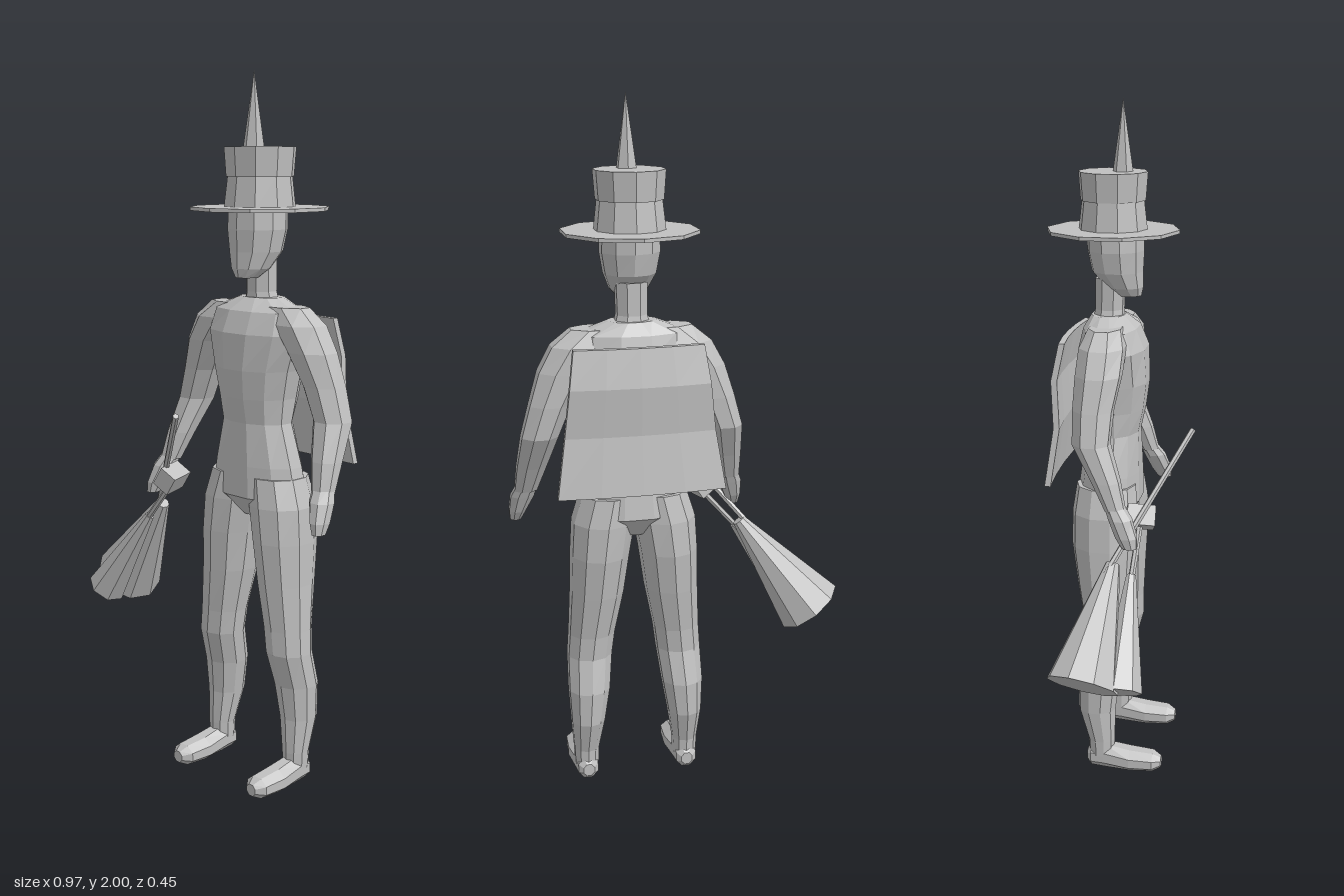
import * as THREE from 'three';

const CX = 0.135; // middle of the body
const grey = new THREE.MeshStandardMaterial({ color: 0xc0c0c0, flatShading: true });
grey.name = 'plain grey';

// closed skin over elliptical rings [y, x, z, rx, rz], listed bottom to top
function loft(rings, n = 10) {
  const pos = [], idx = [];
  for (const [y, x, z, rx, rz] of rings) {
    for (let j = 0; j < n; j++) {
      const a = ((j + 0.5) / n) * Math.PI * 2;
      pos.push(x + Math.cos(a) * rx, y, z + Math.sin(a) * rz);
    }
  }
  const last = rings.length - 1, lo = rings.length * n, hi = lo + 1;
  for (const r of [rings[0], rings[last]]) pos.push(r[1], r[0], r[2]);
  for (let j = 0; j < n; j++) {
    const k = (j + 1) % n;
    for (let i = 0; i < last; i++) {
      const a = i * n + j, b = i * n + k;
      idx.push(a, a + n, b, b, a + n, b + n);
    }
    idx.push(lo, j, k, hi, last * n + k, last * n + j);
  }
  const g = new THREE.BufferGeometry();
  g.setAttribute('position', new THREE.Float32BufferAttribute(pos, 3));
  g.setIndex(idx);
  g.computeVertexNormals();
  return g;
}

// tapered bar between two points
function bar(a, b, ra, rb, sides) {
  const A = new THREE.Vector3(...a), B = new THREE.Vector3(...b);
  const d = B.clone().sub(A);
  const g = new THREE.CylinderGeometry(rb, ra, d.length(), sides);
  g.applyQuaternion(new THREE.Quaternion().setFromUnitVectors(new THREE.Vector3(0, 1, 0), d.normalize()));
  return g.translate(...A.add(B).multiplyScalar(0.5).toArray());
}

export function createModel() {
  const model = new THREE.Group();
  const add = (name, geometry) => {
    const m = new THREE.Mesh(geometry, grey);
    m.name = name;
    model.add(m);
    return m;
  };

  // trunk, neck and head
  add('torso', loft([
    [0.78, CX, -0.04, 0.05, 0.05], [0.84, CX, -0.04, 0.165, 0.097],
    [0.93, CX, -0.035, 0.148, 0.09], [1.05, CX, -0.03, 0.113, 0.08],
    [1.12, CX, -0.035, 0.12, 0.1], [1.2, CX, -0.033, 0.138, 0.108],
    [1.3, CX, -0.03, 0.17, 0.1], [1.36, CX, -0.035, 0.16, 0.08],
    [1.395, CX, -0.045, 0.07, 0.05],
  ], 12));
  add('neck', loft([
    [1.36, CX, -0.045, 0.06, 0.05], [1.41, CX, -0.042, 0.045, 0.043],
    [1.5, CX, -0.04, 0.047, 0.045],
  ], 8));
  add('head', loft([
    [1.45, CX, 0.015, 0.03, 0.035], [1.475, CX, 0, 0.055, 0.055],
    [1.52, CX, -0.02, 0.074, 0.075], [1.58, CX, -0.025, 0.085, 0.083],
    [1.64, CX, -0.027, 0.083, 0.083], [1.7, CX, -0.03, 0.055, 0.06],
  ]));

  // mirrored limbs: s = -1 is the right side, +1 the left
  for (const s of [-1, 1]) {
    const side = s < 0 ? 'right' : 'left';
    const put = rings => rings.map(([y, off, z, rx, rz]) => [y, CX + s * off, z, rx, rz]);
    add(side + 'Leg', loft(put([
      [0.05, 0.15, -0.04, 0.036, 0.038], [0.1, 0.15, -0.04, 0.038, 0.041],
      [0.2, 0.146, -0.055, 0.051, 0.057], [0.3, 0.14, -0.05, 0.062, 0.064],
      [0.4, 0.133, -0.025, 0.067, 0.066], [0.47, 0.126, -0.027, 0.069, 0.069],
      [0.6, 0.11, -0.035, 0.079, 0.085], [0.72, 0.1, -0.04, 0.086, 0.098],
      [0.82, 0.088, -0.04, 0.092, 0.098], [0.9, 0.07, -0.04, 0.085, 0.088],
    ])));
    add(side + 'Arm', loft(put([
      [0.9, 0.298, 0.03, 0.034, 0.03], [0.98, 0.283, 0, 0.045, 0.042],
      [1.08, 0.263, -0.045, 0.055, 0.055], [1.17, 0.232, -0.045, 0.062, 0.06],
      [1.26, 0.192, -0.037, 0.075, 0.068], [1.33, 0.145, -0.035, 0.085, 0.068],
      [1.375, 0.09, -0.035, 0.085, 0.05],
    ]), 8));
    add(side + 'Hand', loft(put([
      [0.8, 0.325, 0.075, 0.017, 0.022], [0.83, 0.32, 0.065, 0.026, 0.032],
      [0.88, 0.307, 0.045, 0.036, 0.034], [0.92, 0.295, 0.022, 0.031, 0.027],
    ]), 8));
    // sole runs from toe to heel, then is laid flat
    const foot = loft([
      [-0.145, 0, 0.035, 0.018, 0.018], [-0.12, 0, 0.036, 0.04, 0.032],
      [-0.05, 0, 0.037, 0.045, 0.037], [0.03, 0, 0.045, 0.037, 0.042],
      [0.07, 0, 0.042, 0.032, 0.036], [0.083, 0, 0.04, 0.018, 0.02],
    ], 8).rotateX(-Math.PI / 2);
    // keep the sole on the ground
    const p = foot.attributes.position;
    for (let i = 0; i < p.count; i++) p.setY(i, Math.max(0, p.getY(i) < 0 ? -p.getY(i) : p.getY(i)));
    foot.computeVertexNormals();
    add(side + 'Foot', foot.translate(CX + s * 0.15, 0, 0));
  }

  // hat
  const hat = [
    ['hatBrim', new THREE.CylinderGeometry(0.192, 0.192, 0.01, 10), 1.635],
    ['hatBand', new THREE.CylinderGeometry(0.09, 0.1, 0.085, 10), 1.6775],
    ['hatCrown', new THREE.CylinderGeometry(0.1, 0.094, 0.08, 10), 1.76],
  ];
  for (const [name, g, y] of hat) add(name, g.translate(CX, y, -0.033));
  add('hatSpike', new THREE.ConeGeometry(0.032, 0.22, 6).translate(CX + 0.002, 1.89, -0.005));

  // cape: a creased, slightly bowed sheet, rows [y, z, half width]
  const rows = [[0.935, -0.185, 0.235], [1.1, -0.163, 0.21], [1.235, -0.172, 0.195], [1.34, -0.152, 0.18]];
  const cape = new THREE.BoxGeometry(1, 1, 1, 4, 3, 1);
  const c = cape.attributes.position;
  for (let i = 0; i < c.count; i++) {
    const u = c.getX(i) * 2;
    const [y, z, w] = rows[Math.round((c.getY(i) + 0.5) * 3)];
    c.setXYZ(i, CX + u * w, y, z + c.getZ(i) * 0.018 + 0.012 * u * u - 0.006);
  }
  cape.computeVertexNormals();
  add('cape', cape);

  // broom held in the right hand
  add('broomStick', bar([0.06, 1.08, 0.215], [-0.235, 0.735, 0.015], 0.009, 0.009, 6));
  add('broomRod', bar([-0.08, 0.86, 0.09], [-0.23, 0.69, 0.083], 0.009, 0.009, 6));
  const block = add('broomBlock', new THREE.BoxGeometry(0.055, 0.06, 0.08));
  block.position.set(-0.093, 0.86, 0.09);
  block.rotation.set(0.1, 0.2, -0.6);
  add('largeBristles', bar([-0.2, 0.755, 0.03], [-0.412, 0.477, -0.015], 0.02, 0.102, 9));
  add('smallBristles', bar([-0.2, 0.725, 0.082], [-0.395, 0.46, 0.088], 0.014, 0.06, 7));

  return model;
}
